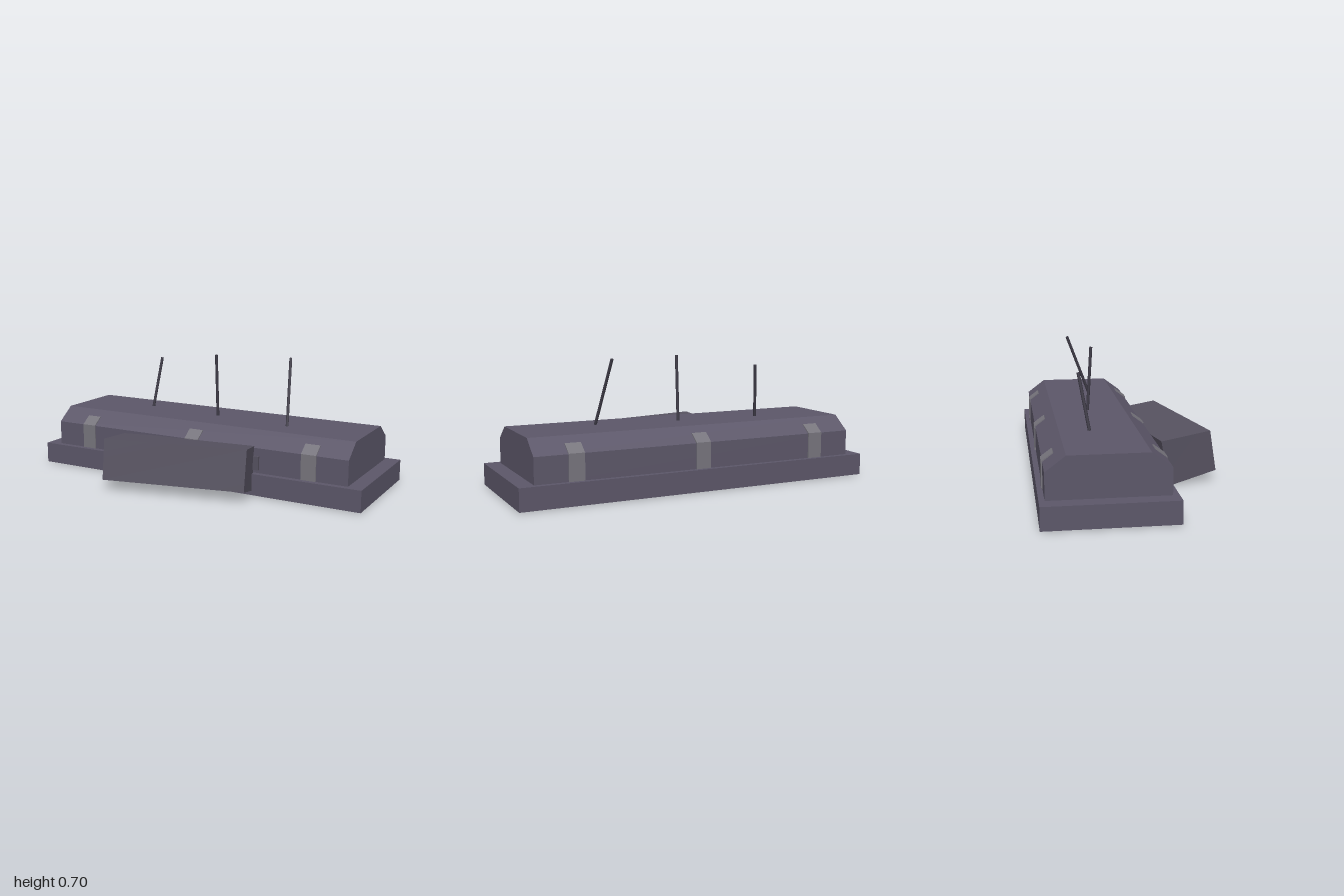
import * as THREE from 'three';

const paint = (name, color, side = THREE.FrontSide) => {
  const m = new THREE.MeshStandardMaterial({ color, side });
  m.name = name;
  return m;
};

export function createModel() {
  const group = new THREE.Group();
  const casing = paint('casing grey', 0x5c5769);
  const slabGrey = paint('slab grey', 0x565260);
  const strapGrey = paint('strap grey', 0x77757d);
  const dark = paint('dark metal', 0x3f3c48);

  const add = (name, geometry, material, x = 0, y = 0, z = 0) => {
    const mesh = new THREE.Mesh(geometry, material);
    mesh.name = name;
    mesh.position.set(x, y, z);
    group.add(mesh);
    return mesh;
  };

  // Extrudes a [z, y] profile along x, centred on x = 0
  const extrudeX = (profile, width) => {
    const shape = new THREE.Shape(profile.map(([z, y]) => new THREE.Vector2(-z, y)));
    const g = new THREE.ExtrudeGeometry(shape, { depth: width, bevelEnabled: false });
    g.translate(0, 0, -width / 2);
    g.rotateY(Math.PI / 2);
    return g;
  };

  // Base plinth
  add('base', new THREE.BoxGeometry(2, 0.118, 0.667), casing, 0, 0.062, -0.158);

  // Chamfered upper body
  const midZ = -0.16;
  add('body', extrudeX([
    [0.143, 0.115], [0.143, 0.258], [0.041, 0.335],
    [-0.361, 0.335], [-0.463, 0.258], [-0.463, 0.115],
  ], 1.834), casing);

  // Straps folded over the front and back shoulders
  const strapHalf = [
    [0.14, 0.118], [0.149, 0.118], [0.149, 0.261], [0.091, 0.304], [0.087, 0.299], [0.14, 0.258],
  ];
  for (const x of [-0.7, 0, 0.7]) {
    add('frontStrap', extrudeX(strapHalf, 0.084), strapGrey, x);
    const back = strapHalf.map(([z, y]) => [2 * midZ - z, y]);
    add('backStrap', extrudeX(back, 0.084), strapGrey, x);
  }

  // Small studs on the front wall
  for (const x of [-0.4, -0.2, 0.2, 0.4]) {
    add('stud', new THREE.BoxGeometry(0.034, 0.076, 0.03), slabGrey, x, 0.177, 0.142);
  }

  // Skewed slab leaning against the front, a box with moved corners
  const corners = {
    '-1,1,1': [-0.369, 0.285, 0.455], '1,1,1': [0.415, 0.285, 0.29],
    '-1,-1,1': [-0.361, 0.062, 0.492], '1,-1,1': [0.418, 0.062, 0.326],
    '-1,1,-1': [-0.425, 0.25, 0.18], '1,1,-1': [0.358, 0.25, 0.015],
    '-1,-1,-1': [-0.414, 0, 0.225], '1,-1,-1': [0.365, 0, 0.06],
  };
  const slab = new THREE.BoxGeometry(2, 2, 2);
  const p = slab.attributes.position;
  for (let i = 0; i < p.count; i++) {
    p.setXYZ(i, ...corners[[p.getX(i), p.getY(i), p.getZ(i)].join(',')]);
  }
  slab.computeVertexNormals();
  add('slab', slab, slabGrey);

  // Leaning rods on the roof
  const rods = [
    [[-0.47, 0.325, -0.203], [-0.435, 0.632, -0.257]],
    [[0, 0.325, -0.166], [0, 0.693, -0.144]],
    [[0.466, 0.325, -0.105], [0.42, 0.693, -0.243]],
  ];
  for (const [a, b] of rods) {
    const from = new THREE.Vector3(...a);
    const to = new THREE.Vector3(...b);
    const dir = to.clone().sub(from);
    const rod = add('rod', new THREE.CylinderGeometry(0.0085, 0.0085, dir.length(), 8), dark);
    rod.position.copy(from).add(to).multiplyScalar(0.5);
    rod.quaternion.setFromUnitVectors(new THREE.Vector3(0, 1, 0), dir.normalize());
  }

  return group;
}
